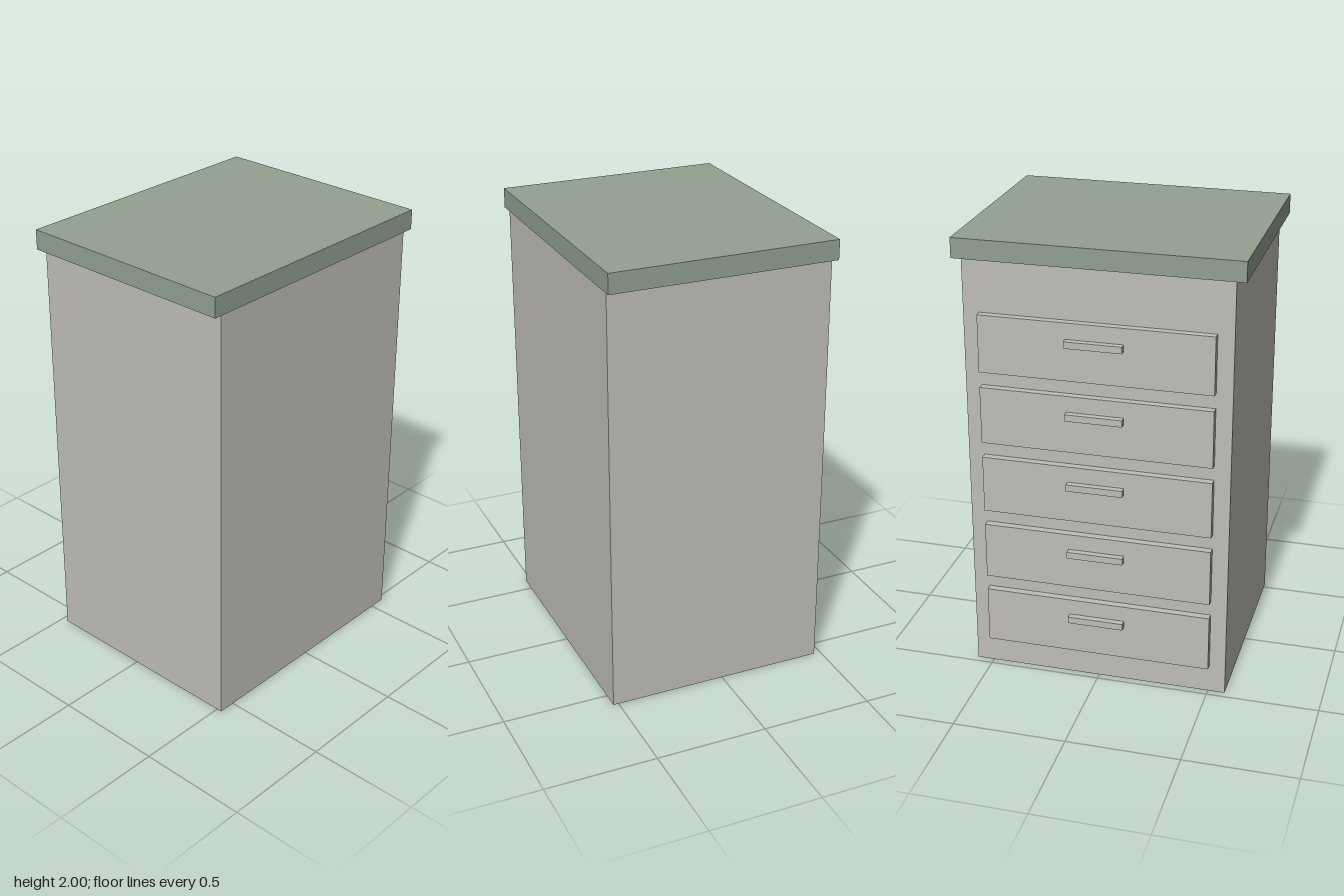
import * as THREE from 'three';

export function createModel() {
  const cabinet = new THREE.Group();
  cabinet.name = 'drawerCabinet';

  const paint = new THREE.MeshStandardMaterial({ name: 'warmGrey', color: 0xc0beb7 });
  const topPaint = new THREE.MeshStandardMaterial({ name: 'sageGreen', color: 0x92a091 });

  // Box given by its size and its lower and upper limits in y and z, centred on x
  function addBox(parent, name, width, [y0, y1], [z0, z1], material) {
    const mesh = new THREE.Mesh(new THREE.BoxGeometry(width, y1 - y0, z1 - z0), material);
    mesh.position.set(0, (y0 + y1) / 2, (z0 + z1) / 2);
    mesh.name = name;
    parent.add(mesh);
  }

  // Carcass and overhanging worktop
  addBox(cabinet, 'carcass', 1.152, [0, 1.912], [-0.469, 0.524], paint);
  addBox(cabinet, 'worktop', 1.236, [1.912, 2], [-0.477, 0.532], topPaint);

  // Five drawers with bar handles on the back face
  for (let i = 0; i < 5; i++) {
    const drawer = new THREE.Group();
    drawer.name = `drawer${i + 1}`;
    drawer.position.y = 0.259 + i * 0.3245;
    addBox(drawer, 'drawerFront', 1.01, [-0.128, 0.128], [-0.503, -0.469], paint);
    addBox(drawer, 'handle', 0.248, [0.027, 0.057], [-0.532, -0.503], paint);
    cabinet.add(drawer);
  }

  return cabinet;
}
